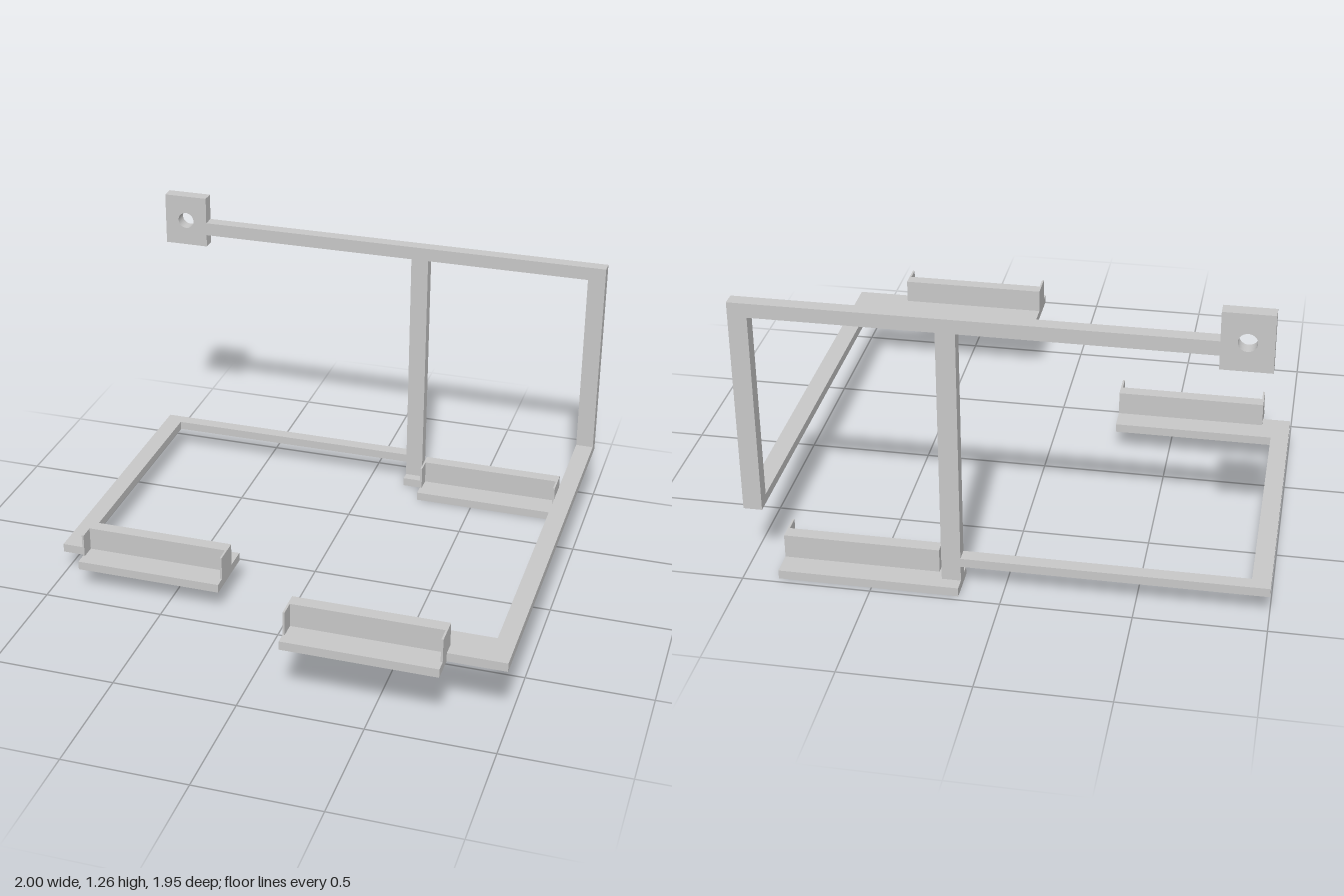
import * as THREE from 'three';

export function createModel() {
  const model = new THREE.Group();
  model.name = 'bentBarStand';
  const grey = new THREE.MeshStandardMaterial({ color: 0xc7c7c7 });
  grey.name = 'lightGrey';

  // Box given by its limits on each axis
  function bar(name, [x0, x1], [y0, y1], [z0, z1], parent = model) {
    const mesh = new THREE.Mesh(new THREE.BoxGeometry(x1 - x0, y1 - y0, z1 - z0), grey);
    mesh.position.set((x0 + x1) / 2, (y0 + y1) / 2, (z0 + z1) / 2);
    mesh.name = name;
    parent.add(mesh);
  }

  const T = 0.036; // plate thickness
  const L = 0.608; // tray length
  const back = [-0.925, -0.87];
  const low = [0.099, 0.099 + T];
  const high = [0.27, 0.27 + T];

  // Tray: base plate, rear wall and two thin end flaps
  function tray(name, x, y, z) {
    const g = new THREE.Group();
    g.name = name;
    g.position.set(x, y, z);
    bar('basePlate', [0, L], [0, T], [0, 0.26], g);
    bar('rearWall', [0, L], [T, 0.133], [0.096, 0.149], g);
    for (const fx of [0, L - 0.008])
      bar('endFlap', [fx, fx + 0.008], [T, 0.133], [0.149, 0.212], g);
    model.add(g);
  }
  tray('rightTray', -0.885, low[0], 0.163);
  tray('leftTray', 0.163, high[0], 0.717);
  tray('rearTray', 0.255, 0, -0.977);

  // Low arm, from the post round to the right tray
  bar('lowRearBar', [-0.927, 0.163], low, back);
  bar('lowSideBar', [-1, -0.927], low, [back[0], 0.312]);
  bar('lowArmEnd', [-0.927, -0.885], low, [0.163, 0.312]);

  // Raised arm, from the corner post round to the left tray
  bar('highSideBar', [0.927, 1], high, [back[1], 0.867]);
  bar('highArmEnd', [0.771, 0.927], high, [0.717, 0.867]);

  // Upright frame
  bar('rearTrayTongue', [0.163, 0.255], [0, T], [-0.977, -0.828]);
  bar('middlePost', [0.163, 0.237], [T, 1.088], back);
  bar('cornerPost', [0.927, 1], [high[0], 1.088], back);
  bar('topBar', [-0.772, 1], [1.088, 1.144], back);

  // Mounting tab with a round hole
  const shape = new THREE.Shape();
  shape.moveTo(-0.961, 1.034);
  shape.lineTo(-0.772, 1.034);
  shape.lineTo(-0.772, 1.258);
  shape.lineTo(-0.961, 1.258);
  shape.closePath();
  const hole = new THREE.Path();
  hole.absarc(-0.867, 1.146, 0.035, 0, Math.PI * 2, true);
  shape.holes.push(hole);
  const tab = new THREE.Mesh(
    new THREE.ExtrudeGeometry(shape, { depth: back[1] - back[0], bevelEnabled: false, curveSegments: 24 }), grey);
  tab.position.z = back[0];
  tab.name = 'mountingTab';
  model.add(tab);

  return model;
}
